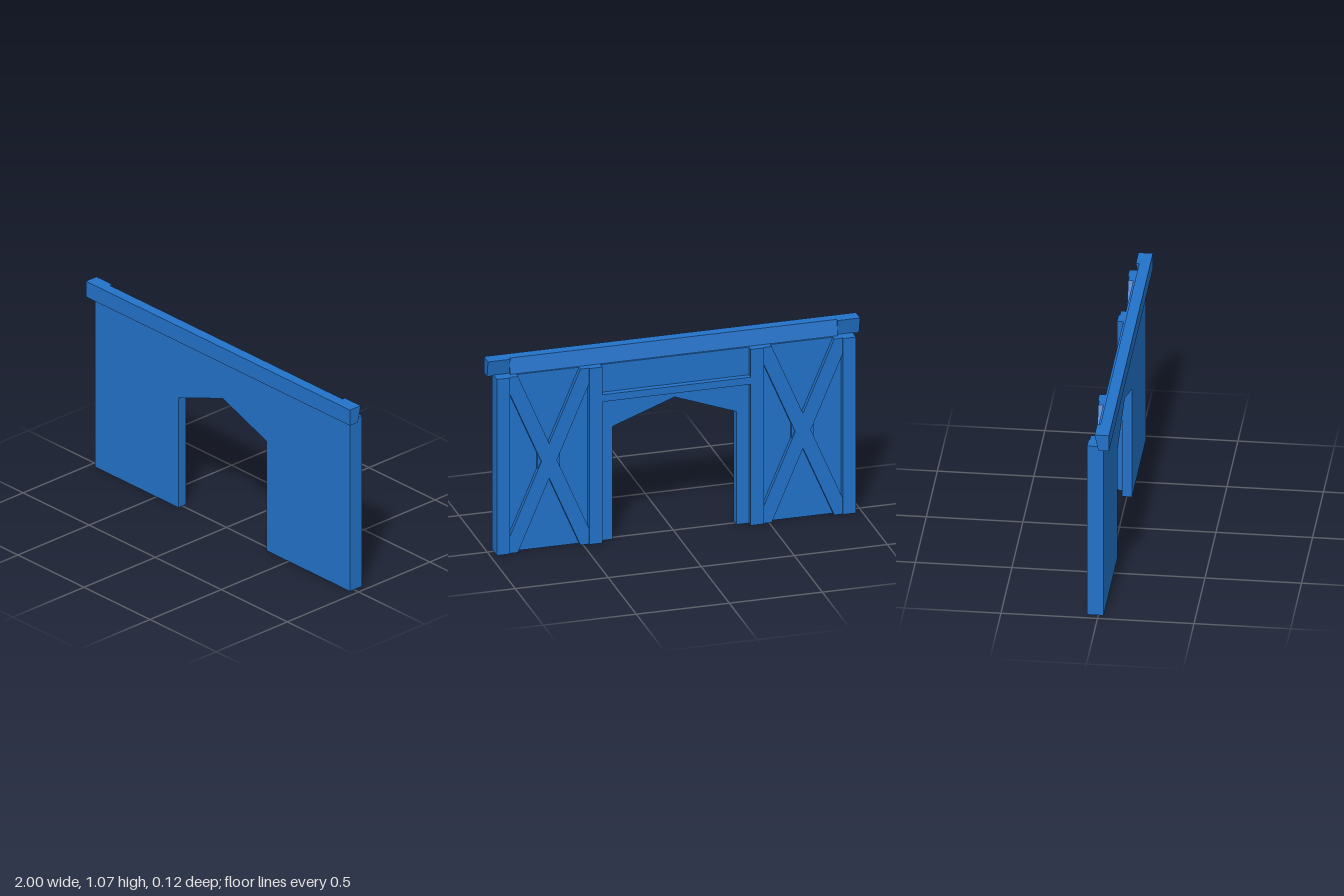
import * as THREE from 'three';

const material = new THREE.MeshStandardMaterial({ color: 0x2272c8, flatShading: true });

function add(parent, name, geometry) {
  const mesh = new THREE.Mesh(geometry, material);
  mesh.name = name;
  parent.add(mesh);
  return mesh;
}

// box given by its minimum and maximum corners
function box(parent, name, [x0, y0, z0], [x1, y1, z1]) {
  const mesh = add(parent, name, new THREE.BoxGeometry(x1 - x0, y1 - y0, z1 - z0));
  mesh.position.set((x0 + x1) / 2, (y0 + y1) / 2, (z0 + z1) / 2);
  return mesh;
}

function extrude(points, depth) {
  const shape = new THREE.Shape(points.map(([x, y]) => new THREE.Vector2(x, y)));
  return new THREE.ExtrudeGeometry(shape, { depth, bevelEnabled: false });
}

// cap beam section with its own back edge at top and bottom, run along x
function capSection(parent, name, x0, x1, backTop, backBottom) {
  const geometry = extrude(
    [[-0.06, 0.98], [-backBottom, 0.98], [-backTop, 1.07], [-0.06, 1.07]], x1 - x0);
  geometry.rotateY(Math.PI / 2);
  add(parent, name, geometry).position.x = x0;
}

export function createModel() {
  const group = new THREE.Group();
  group.name = 'archwayWall';
  const WALL_BACK = -0.025, BACK = -0.058, TOP = 0.985;

  // wall panel with a pointed doorway
  const wall = extrude([
    [-0.965, 0], [-0.333, 0], [-0.333, 0.632], [0, 0.755],
    [0.333, 0.632], [0.333, 0], [0.965, 0], [0.965, TOP], [-0.965, TOP],
  ], 0.028 - WALL_BACK);
  add(group, 'wallPanel', wall).position.z = WALL_BACK;

  // cap beam: back slopes outward along the middle and undercuts at both ends
  capSection(group, 'capBeam', -0.88, 0.88, 0.002, -0.015);
  capSection(group, 'capEndRight', -1, -0.88, -0.015, 0.005);
  capSection(group, 'capEndLeft', 0.88, 1, -0.015, 0.005);

  // rail over the doorway
  box(group, 'doorRail', [-0.4, 0.79, BACK], [0.4, 0.83, WALL_BACK]);

  // posts, cross braces and centre plate on the back of each side
  for (const side of [-1, 1]) {
    const frame = new THREE.Group();
    frame.name = side > 0 ? 'leftFrame' : 'rightFrame';
    group.add(frame);
    for (const [name, x] of [['outerPost', 0.93], ['innerPost', 0.434]]) {
      const w = 0.035;
      box(frame, name, [side * x - w, 0, BACK], [side * x + w, TOP, WALL_BACK]);
    }
    const cx = 0.682 * side, half = 0.213, b = 0.045;
    for (const s of [-1, 1]) {
      // brace ends are cut flush with the posts
      const brace = extrude([
        [-s * half, 0], [-s * (half - b), 0], [s * half, TOP - 2 * b],
        [s * half, TOP], [s * (half - b), TOP], [-s * half, 2 * b],
      ], 0.026);
      add(frame, 'crossBrace', brace).position.set(cx, 0, -0.051);
    }
    box(frame, 'centrePlate', [cx - 0.06, 0.425, -0.042], [cx + 0.06, 0.56, WALL_BACK]);
  }
  return group;
}
